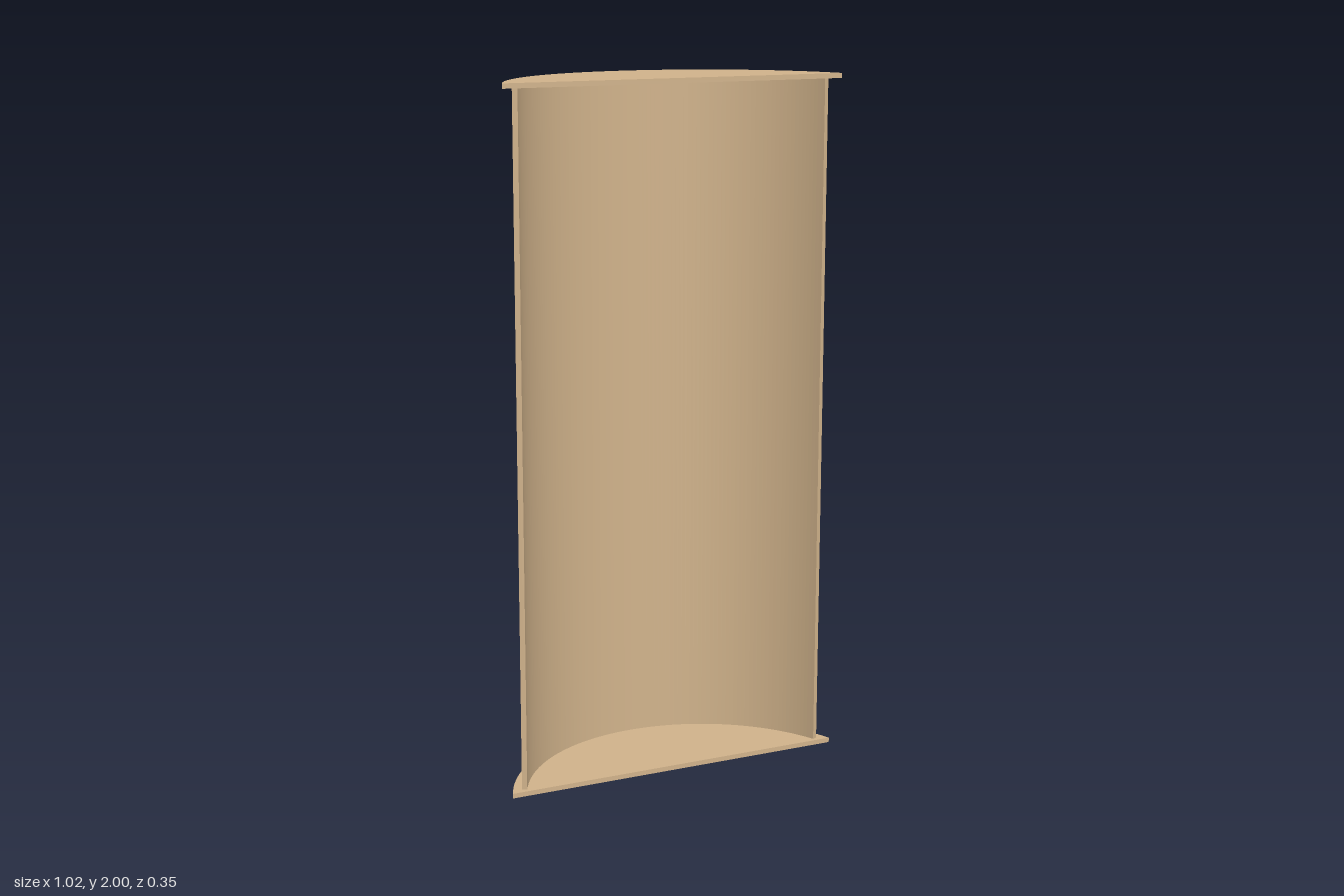
import * as THREE from 'three';

const HEIGHT = 2, PLATE = 0.014;      // overall height, end plate thickness
const CENTER_Z = 0.37;                // axis of the common arc
const R_PLATE = 0.547, R_OUT = 0.522, R_IN = 0.507;
const rad = THREE.MathUtils.degToRad;

// Extrude a plan outline upwards from y0 to y1 (shape y points to -z)
function extrudeUp(shape, y0, y1, segments) {
  const g = new THREE.ExtrudeGeometry(shape, { depth: y1 - y0, bevelEnabled: false, curveSegments: segments });
  g.rotateX(-Math.PI / 2);
  g.translate(0, y0, CENTER_Z);
  return g;
}

// Curved strip between two angles, measured from the back (-z) towards +x
function arcStrip(from, to) {
  const a0 = Math.PI / 2 - rad(to), a1 = Math.PI / 2 - rad(from);
  const s = new THREE.Shape();
  s.absarc(0, 0, R_OUT, a0, a1, false);
  s.absarc(0, 0, R_IN, a1, a0, true);
  s.closePath();
  return s;
}

// Circle segment with its straight edge at the front
function plateShape() {
  const half = Math.acos((CENTER_Z - 0.175) / R_PLATE);
  const s = new THREE.Shape();
  s.absarc(0, 0, R_PLATE, Math.PI / 2 - half, Math.PI / 2 + half, false);
  s.closePath();
  return s;
}

export function createModel() {
  const group = new THREE.Group();
  const wood = new THREE.MeshStandardMaterial({ color: 0xd2b48c });
  wood.name = 'lightWood';

  const add = (name, geometry) => {
    const mesh = new THREE.Mesh(geometry, wood);
    mesh.name = name;
    group.add(mesh);
  };

  // Curved back wall, open at the front
  add('curvedWall', extrudeUp(arcStrip(-66, 66), PLATE, HEIGHT - PLATE, 48));

  // End plates, with the wall's joint tabs flush in each
  for (const [end, y0] of [['bottom', 0], ['top', HEIGHT - PLATE]]) {
    add(end + 'Plate', extrudeUp(plateShape(), y0, y0 + PLATE, 64));
    add(end + 'LeftTab', extrudeUp(arcStrip(10, 56.5), y0, y0 + PLATE, 16));
    add(end + 'RightTab', extrudeUp(arcStrip(-56.5, -10), y0, y0 + PLATE, 16));
  }
  return group;
}
